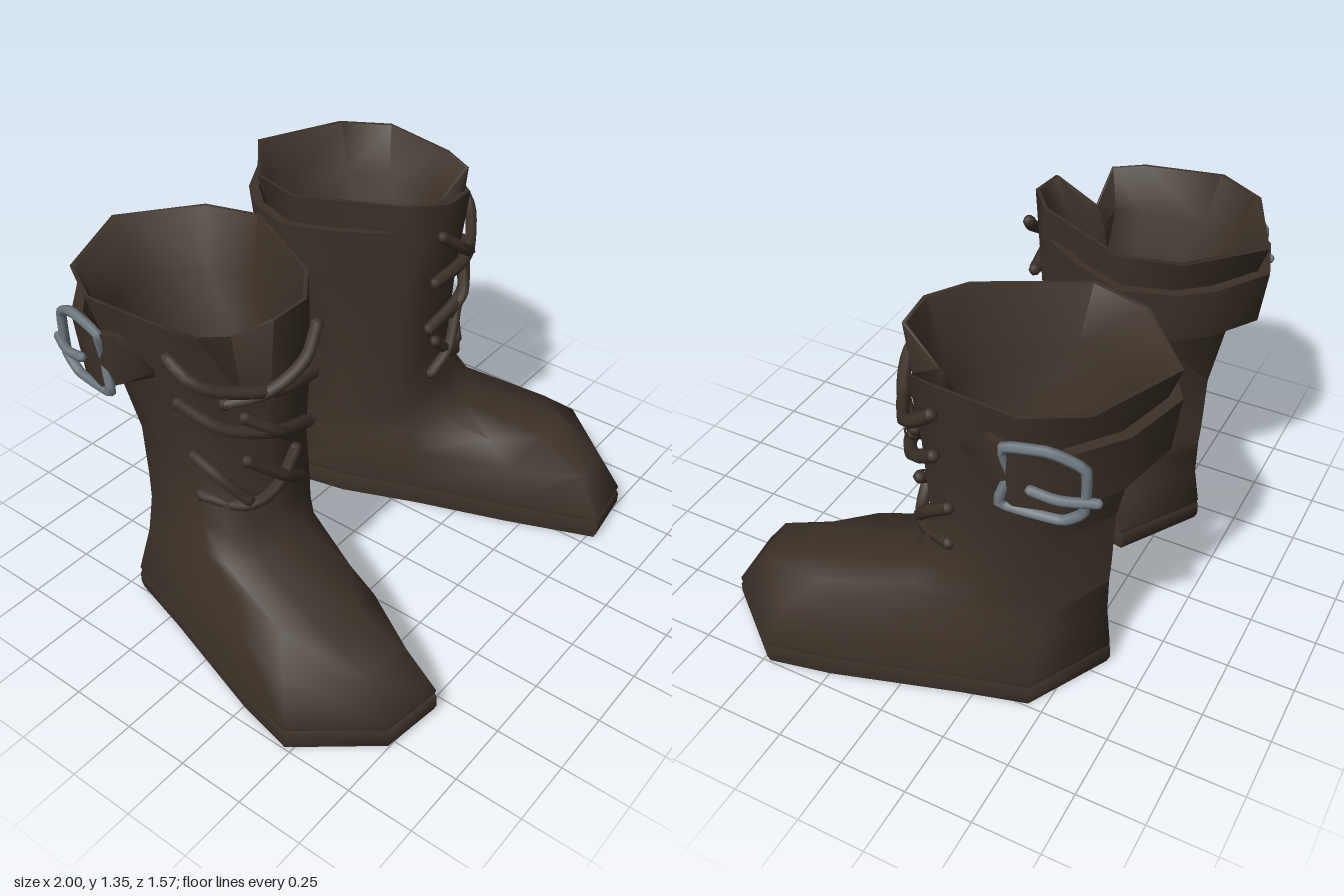
import * as THREE from 'three';
import { toCreasedNormals, mergeVertices } from 'three/addons/utils/BufferGeometryUtils.js';

// Skin a list of closed rings of [x, y, z] points, capped at both ends
function loft(rings, crease) {
  const n = rings[0].length, pos = rings.flat(2), idx = [];
  for (let i = 0; i < rings.length - 1; i++) {
    for (let j = 0; j < n; j++) {
      const a = i * n + j, b = i * n + (j + 1) % n, c = a + n, d = b + n;
      idx.push(a, c, b, b, c, d);
    }
  }
  [rings[0], rings[rings.length - 1]].forEach((ring, end) => {
    const centre = pos.length / 3, base = end * (rings.length - 1) * n;
    for (let k = 0; k < 3; k++) pos.push(ring.reduce((s, p) => s + p[k], 0) / n);
    for (let j = 0; j < n; j++) {
      const a = base + j, b = base + (j + 1) % n;
      idx.push(centre, end ? b : a, end ? a : b);
    }
  });
  const g = new THREE.BufferGeometry();
  g.setAttribute('position', new THREE.Float32BufferAttribute(pos, 3));
  g.setIndex(idx);
  return toCreasedNormals(g, crease);
}

// Horizontal ring from [x, z] pairs, optionally scaled about its centre
function level(y, points, scale = 1) {
  const cx = points.reduce((s, p) => s + p[0], 0) / points.length;
  const cz = points.reduce((s, p) => s + p[1], 0) / points.length;
  return points.map(([x, z], i) => [cx + (x - cx) * scale, Array.isArray(y) ? y[i] : y, cz + (z - cz) * scale]);
}

function cord(points, radius, closed = false, tension = 0.5) {
  const curve = new THREE.CatmullRomCurve3(points.map(p => new THREE.Vector3(...p)), closed, 'catmullrom', tension);
  const g = new THREE.TubeGeometry(curve, closed ? 36 : 14, radius, 6, closed);
  if (closed) return [g];
  // Rounded ends
  const ends = [points[0], points[points.length - 1]].map(p =>
    new THREE.SphereGeometry(radius, 6, 4).translate(...p));
  return [g, ...ends];
}

// Flip a part across x = 0 and restore the winding
function mirror(geometry) {
  const g = mergeVertices(geometry.clone());
  g.scale(-1, 1, 1);
  const index = g.index.array;
  for (let i = 0; i < index.length; i += 3) [index[i], index[i + 2]] = [index[i + 2], index[i]];
  return g;
}

// Plan outlines run heel inside, back, outside, toe, then along the inner side
const soleOutline = [[.12, -.42], [.43, -.615], [.74, -.45], [.81, -.2], [.95, .25], [1, .48],
  [.78, .755], [.555, .785], [.42, .45], [.29, .09], [.17, -.2]];
const instep = [[.18, -.42], [.42, -.59], [.68, -.44], [.76, -.2], [.88, .2], [.94, .43],
  [.76, .64], [.58, .67], [.44, .43], [.3, .06], [.19, -.2]];
const vamp = [[.2, -.42], [.42, -.59], [.66, -.44], [.73, -.22], [.8, .1], [.84, .34],
  [.76, .46], [.6, .49], [.45, .33], [.31, .05], [.2, -.2]];
const bend = [[.2, -.41], [.42, -.59], [.65, -.44], [.71, -.25], [.75, -.07], [.75, .02],
  [.66, .1], [.54, .12], [.41, .1], [.29, .02], [.2, -.21]];
const ankle = [[.2, -.4], [.42, -.595], [.64, -.45], [.7, -.27], [.71, -.12], [.7, -.01],
  [.61, .04], [.5, .06], [.4, .05], [.28, .01], [.2, -.22]];
const waist = [[.2, -.4], [.42, -.6], [.64, -.46], [.69, -.3], [.69, -.15], [.66, -.03],
  [.57, .0], [.53, .05], [.4, .05], [.28, 0], [.2, -.22]];
const calf = [[.17, -.46], [.41, -.66], [.67, -.54], [.75, -.38], [.74, -.15], [.69, -.03],
  [.58, -.02], [.54, .07], [.4, .08], [.27, .02], [.14, -.28]];
const rim = [[.14, -.56], [.39, -.775], [.72, -.63], [.825, -.45], [.79, -.15], [.75, -.03],
  [.59, -.04], [.55, .11], [.4, .12], [.27, .02], [.085, -.35]];
const rimHeights = [1.345, 1.335, 1.335, 1.335, 1.32, 1.3, 1.22, 1.325, 1.335, 1.345, 1.35];

// Belt stations: x, z, middle height, half height
const beltPath = [[.24, -.02, 1.14, .1], [.14, -.17, 1.14, .1], [.055, -.37, 1.14, .1],
  [.115, -.56, 1.14, .1], [.21, -.67, 1.14, .1], [.4, -.785, 1.135, .1], [.62, -.715, 1.11, .11],
  [.79, -.57, 1.09, .12], [.845, -.43, 1.1, .115], [.82, -.33, 1.13, .095], [.78, -.22, 1.1, .015]];

const laces = [
  [[.79, 1.21, -.13], [.78, 1.15, -.05], [.71, 1.1, .02], [.54, 1.055, .11], [.36, 1.02, .1]],
  [[.36, 1.22, .125], [.46, 1.14, .15], [.58, 1.065, .1], [.68, 1.03, .0]],
  [[.77, 1.03, -.12], [.7, .94, .0], [.55, .88, .09], [.36, .81, .08]],
  [[.48, .83, .09], [.55, .89, .1], [.63, .96, .04]],
  [[.71, .77, -.13], [.68, .69, -.03], [.63, .61, .03]],
  [[.7, .6, -.12], [.63, .58, .02], [.53, .62, .07], [.42, .72, .07]],
  [[.4, .58, .07], [.5, .66, .08], [.62, .77, .03]],
];

export function createModel() {
  const leather = new THREE.MeshStandardMaterial({ color: 0x3c3128 });
  leather.name = 'dark brown leather';
  const metal = new THREE.MeshStandardMaterial({ color: 0x6f7a82 });
  metal.name = 'grey metal';

  const parts = [];
  const add = (name, material, ...geometries) =>
    geometries.forEach(geometry => parts.push({ name, material, geometry }));

  add('sole', leather, loft([level(0, soleOutline, .985), level(.025, soleOutline),
    level(.065, soleOutline), level(.085, soleOutline, .985)], 1.1));

  // Outer leather from the welt to the rim, then down the hollow inside
  add('upper', leather, loft([
    level(.08, soleOutline, .985), level(.1, soleOutline, .995), level(.25, instep), level(.34, vamp),
    level(.39, bend), level(.48, ankle), level(.7, waist), level(1, calf),
    level(rimHeights, rim), level(rimHeights, rim, .96),
    level(1.15, rim, .8), level(1, calf, .78), level(.7, waist, .66)], 1.25));

  // Strap around the top, narrower below, with a pointed tail
  const around = ([x, y, z], s) => [.44 + (x - .44) * s, y, -.32 + (z + .32) * s];
  add('belt', leather, loft(beltPath.map(([x, z, y, h]) => {
    const top = [x, y + h, z], bottom = [x, y - h, z];
    return [top, around(bottom, .95), around(bottom, .86), around(top, .91)];
  }), 1.1));

  laces.forEach(points => add('lace', leather, ...cord(points, .024)));

  // Buckle frame and prong on the outer side
  add('buckleFrame', metal, ...cord([[.835, 1.22, -.4], [.81, 1.235, -.54], [.775, 1.18, -.64],
    [.775, 1.02, -.64], [.785, .965, -.57], [.825, .99, -.38], [.81, 1.1, -.41]], .018, true, .2));
  add('buckleProng', metal, ...cord([[.835, 1.09, -.49], [.82, 1.075, -.58], [.77, 1.065, -.68]], .017));

  const model = new THREE.Group();
  model.name = 'pairOfBoots';
  for (const side of ['left', 'right']) {
    const boot = new THREE.Group();
    boot.name = side + 'Boot';
    for (const { name, material, geometry } of parts) {
      const mesh = new THREE.Mesh(side === 'left' ? geometry : mirror(geometry), material);
      mesh.name = name;
      boot.add(mesh);
    }
    model.add(boot);
  }
  return model;
}
